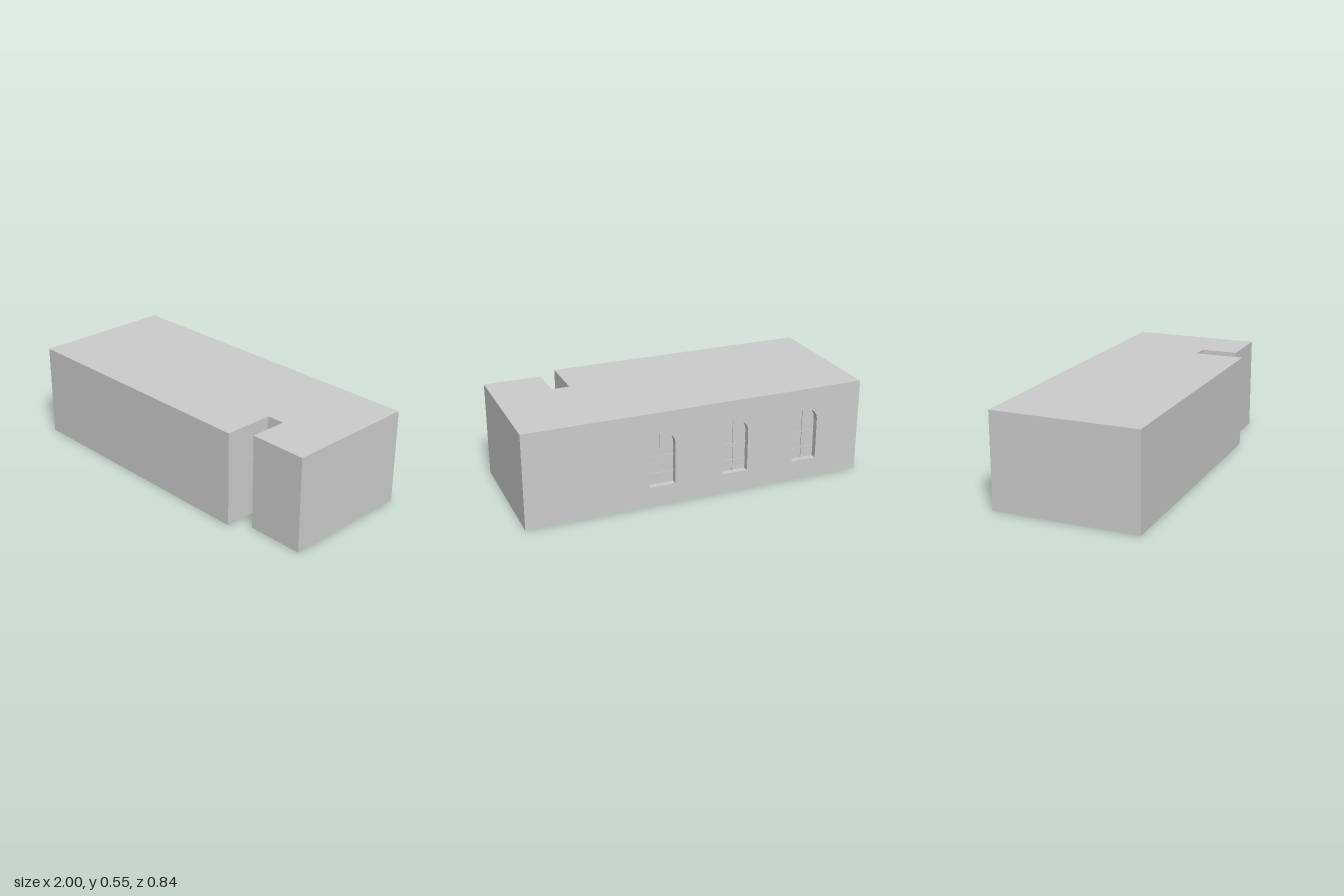
import * as THREE from 'three';

const HEIGHT = 0.55, BACK = 0.42, RECESS = 0.035;
const SILL = 0.115, SPRING = 0.353, RADIUS = 0.076;
const WINDOWS = [-0.22, 0.217, 0.653]; // centres along the rear wall

const material = new THREE.MeshStandardMaterial({ color: 0xcccccc });

function add(parent, name, geometry, x = 0, y = 0, z = 0) {
  const mesh = new THREE.Mesh(geometry, material);
  mesh.name = name;
  mesh.position.set(x, y, z);
  parent.add(mesh);
  return mesh;
}

// Flat quads joining two matching rows of points
function ribbon(a, b) {
  const corners = [];
  for (let i = 0; i < a.length - 1; i++) {
    corners.push(a[i], a[i + 1], b[i + 1], a[i], b[i + 1], b[i]);
  }
  const geometry = new THREE.BufferGeometry().setFromPoints(corners);
  geometry.computeVertexNormals();
  return geometry;
}

// Round-headed window outline, centred on x
function archPoints(x) {
  const points = [new THREE.Vector2(x - RADIUS, SILL), new THREE.Vector2(x + RADIUS, SILL)];
  const steps = 20;
  for (let i = 0; i <= steps; i++) {
    const t = (i / steps) * Math.PI;
    points.push(new THREE.Vector2(x + RADIUS * Math.cos(t), SPRING + RADIUS * Math.sin(t)));
  }
  return points;
}

function createWindow(x) {
  const group = new THREE.Group();
  group.name = 'archedWindow';
  group.position.x = x;
  const outline = archPoints(0);
  const closed = [...outline, outline[0]];
  const row = (z) => closed.map((p) => new THREE.Vector3(p.x, p.y, z));
  add(group, 'windowReveal', ribbon(row(BACK), row(BACK - RECESS)));
  add(group, 'windowPane', new THREE.ShapeGeometry(new THREE.Shape(outline)), 0, 0, BACK - RECESS);

  // Glazing bars
  const top = SPRING + RADIUS;
  const bar = 0.005, z = BACK - RECESS + bar / 2;
  add(group, 'uprightBar', new THREE.BoxGeometry(bar, top - SILL, bar), 0, (top + SILL) / 2, z);
  for (const y of [0.18, 0.28]) {
    add(group, 'crossBar', new THREE.BoxGeometry(RADIUS * 2, bar, bar), 0, y, z);
  }
  return group;
}

export function createModel() {
  const model = new THREE.Group();
  model.name = 'building';

  // Footprint as [x, z], open along the rear wall
  const plan = [
    [-1, -BACK], [-1, BACK], [0.563, BACK], [0.563, 0.128],
    [0.668, 0.128], [0.668, 0.345], [1, 0.345], [1, -BACK],
  ];
  const ring = (y) => plan.map(([x, z]) => new THREE.Vector3(x, y, z));
  add(model, 'outerWalls', ribbon(ring(0), ring(HEIGHT)));

  // Roof and floor
  const planShape = (sign) => new THREE.Shape(plan.map(([x, z]) => new THREE.Vector2(x, sign * z)));
  add(model, 'roof', new THREE.ShapeGeometry(planShape(-1)).rotateX(-Math.PI / 2), 0, HEIGHT, 0);
  add(model, 'floor', new THREE.ShapeGeometry(planShape(1)).rotateX(Math.PI / 2));

  // Rear wall with window openings, turned to face backwards
  const rear = new THREE.Group();
  rear.name = 'rearSide';
  rear.rotation.y = Math.PI;
  const wall = new THREE.Shape(
    [[-1, 0], [1, 0], [1, HEIGHT], [-1, HEIGHT]].map(([x, y]) => new THREE.Vector2(x, y)),
  );
  for (const x of WINDOWS) {
    wall.holes.push(new THREE.Path(archPoints(x)));
    rear.add(createWindow(x));
  }
  add(rear, 'rearWall', new THREE.ShapeGeometry(wall), 0, 0, BACK);
  model.add(rear);

  return model;
}
